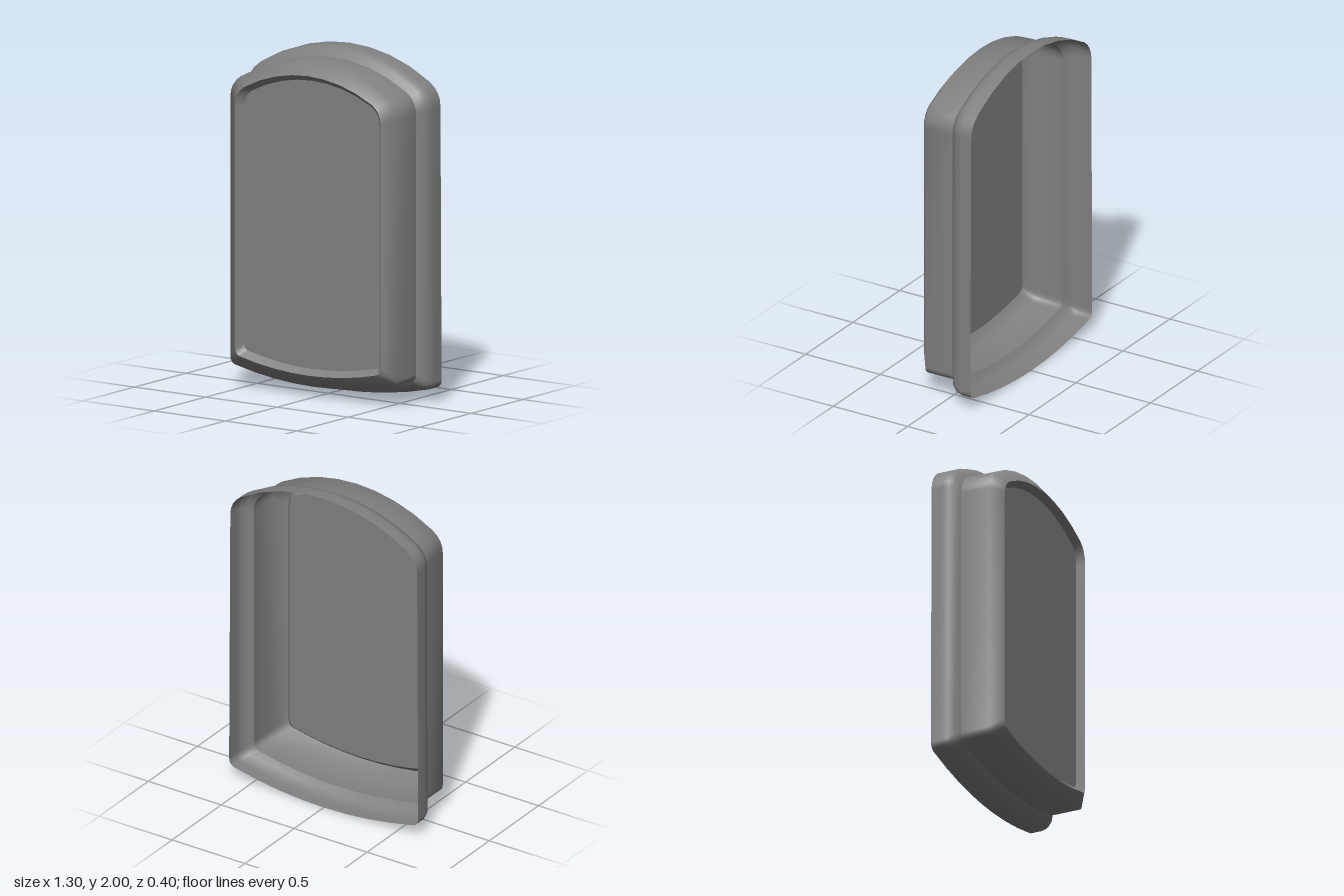
import * as THREE from 'three';

const material = new THREE.MeshStandardMaterial({ color: 0x808080, side: THREE.DoubleSide });

// Counter-clockwise arched outline, inset by d from the outermost edge
function outline(d) {
  // only the outer flange narrows slightly towards the top
  const botW = 0.648 - d, topW = botW - Math.max(0, 0.008 - 0.13 * d);
  const topR = 1.067 - d, botR = 2.6 - 4 * d;
  const topY = x => 2 - 0.95 * d - topR + Math.sqrt(topR * topR - x * x);
  const botY = x => 0.97 * d + botR - Math.sqrt(botR * botR - x * x);
  const v = (x, y) => new THREE.Vector2(x, y);
  const half = [];
  // bowed bottom edge
  const bx = botW * 0.94, tx = topW * 0.88;
  for (let i = 0; i < 4; i++) half.push(v(bx * i / 4, botY(bx * i / 4)));
  // tight lower corner
  half.push(...new THREE.QuadraticBezierCurve(
    v(bx, botY(bx)), v(botW, botY(botW)), v(botW, botY(botW) + 0.04)).getPoints(4));
  // wider shoulder
  half.push(...new THREE.QuadraticBezierCurve(
    v(topW, topY(topW) - 0.08), v(topW, topY(topW)), v(tx, topY(tx))).getPoints(4));
  // arched top edge
  for (let i = 3; i >= 0; i--) half.push(v(tx * i / 4, topY(tx * i / 4)));
  const mirrored = half.slice(1, -1).reverse().map(p => v(-p.x, p.y));
  return [...half, ...mirrored];
}

// Closed band through outlines given as [inset, z], back to front
function band(name, profile) {
  const positions = [], index = [];
  let n = 0;
  for (const [d, z] of profile) {
    const loop = outline(d);
    n = loop.length;
    for (const p of loop) positions.push(p.x, p.y, z);
  }
  for (let k = 0; k < profile.length - 1; k++) {
    for (let i = 0; i < n; i++) {
      const a = k * n + i, b = k * n + (i + 1) % n;
      index.push(a, b, a + n, b, b + n, a + n);
    }
  }
  const geometry = new THREE.BufferGeometry();
  geometry.setAttribute('position', new THREE.Float32BufferAttribute(positions, 3));
  geometry.setIndex(index);
  geometry.computeVertexNormals();
  const mesh = new THREE.Mesh(geometry, material);
  mesh.name = name;
  return mesh;
}

export function createModel() {
  const group = new THREE.Group();
  group.name = 'archedCover';

  // rounded flange, open at the back
  group.add(band('flange', [[0, -0.2], [0, -0.13], [0.008, -0.095], [0.028, -0.065], [0.062, -0.04]]));
  // raised body with chamfered front
  group.add(band('bodyWall', [[0.062, -0.04], [0.062, 0.142], [0.138, 0.2]]));
  // inner lip sloping back to the panel
  group.add(band('innerLip', [[0.138, 0.2], [0.172, 0.16]]));

  // flat recessed panel
  const panel = new THREE.Mesh(new THREE.ShapeGeometry(new THREE.Shape(outline(0.172))), material);
  panel.position.z = 0.16;
  panel.name = 'frontPanel';
  group.add(panel);

  return group;
}
